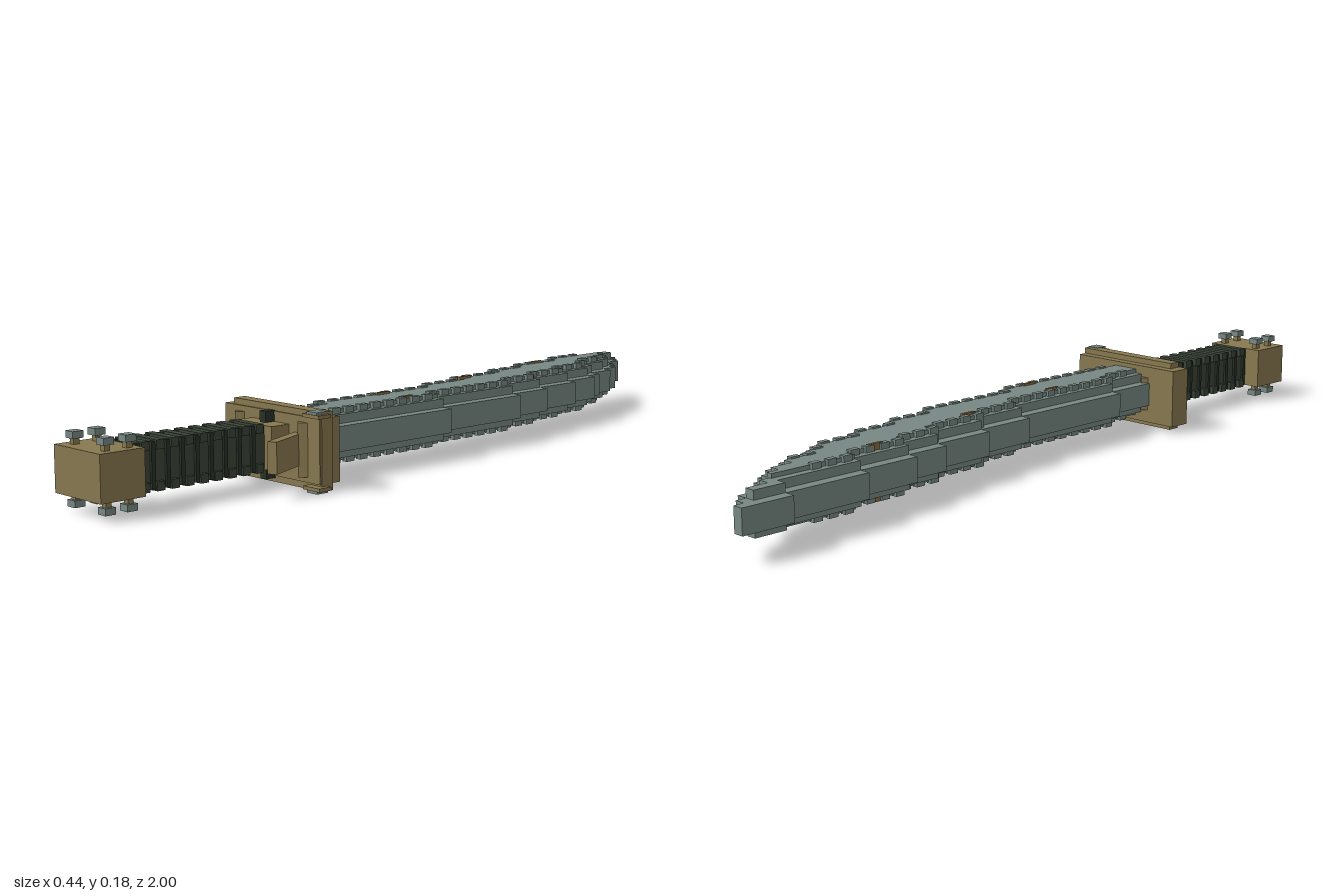
import * as THREE from 'three';

const mat = (name, color) => {
  const m = new THREE.MeshStandardMaterial({ color });
  m.name = name;
  return m;
};

export function createModel() {
  const steel = mat('steel', 0x778883);
  const brass = mat('brass', 0x87784f);
  const grip = mat('dark leather', 0x3a4538);
  const wrapDark = mat('black leather', 0x283027);
  const bronze = mat('bronze', 0x8a6a3e);
  const sword = new THREE.Group();
  sword.name = 'sword';
  const MID = 0.092;

  // Box given by its extents on each axis
  function box(parent, name, m, x0, x1, y0, y1, z0, z1) {
    const mesh = new THREE.Mesh(new THREE.BoxGeometry(x1 - x0, y1 - y0, z1 - z0), m);
    mesh.position.set((x0 + x1) / 2, (y0 + y1) / 2, (z0 + z1) / 2);
    mesh.name = name;
    parent.add(mesh);
    return mesh;
  }
  function part(name) {
    const g = new THREE.Group();
    g.name = name;
    sword.add(g);
    return g;
  }

  // Blade outline: each step is [x, z where the step ends], from the tip
  const left = [[-0.223, -0.87], [-0.197, -0.65], [-0.17, -0.49], [-0.144, -0.38],
    [-0.117, -0.22], [-0.09, -0.06], [-0.064, 0.29], [-0.037, 0.44]];
  const right = [[-0.197, -0.975], [-0.171, -0.95], [-0.144, -0.895], [-0.117, -0.87],
    [-0.09, -0.84], [-0.064, -0.785], [-0.037, -0.705], [-0.008, -0.655],
    [0.018, -0.545], [0.044, -0.405], [0.07, -0.275], [0.097, 0], [0.125, 0.44]];
  const at = (steps, z) => steps.find((s) => z < s[1])[0];
  const cuts = [-1, ...new Set([...left, ...right].map((s) => s[1]))].sort((a, b) => a - b);

  // One tier of the blade: the stepped outline, inset and extruded
  function tier(name, inset, half) {
    const l = [], r = [];
    for (let i = 0; i + 1 < cuts.length; i++) {
      const z = (cuts[i] + cuts[i + 1]) / 2;
      const a = at(left, z) + inset, b = at(right, z) - inset;
      if (b - a < 0.015) continue;
      l.push([a, cuts[i]], [a, cuts[i + 1]]);
      r.push([b, cuts[i]], [b, cuts[i + 1]]);
    }
    const shape = new THREE.Shape([...l, ...r.reverse()].map(([x, z]) => new THREE.Vector2(x, -z)));
    const geo = new THREE.ExtrudeGeometry(shape, { depth: half * 2, bevelEnabled: false });
    geo.rotateX(-Math.PI / 2).translate(0, MID - half, 0);
    const mesh = new THREE.Mesh(geo, steel);
    mesh.name = name;
    blade.add(mesh);
  }
  const blade = part('blade');
  tier('cuttingEdge', 0, 0.029);
  tier('bladeBody', 0.027, 0.05);
  tier('bladeRidge', 0.046, 0.06);

  // Ragged teeth along both sides of the ridge, on both faces
  for (let z = -0.77; z < 0.4; z += 0.042) {
    for (const x of [at(left, z) + 0.046, at(right, z) - 0.044]) {
      box(blade, 'ridgeTooth', steel, x - 0.007, x + 0.007, MID - 0.064, MID + 0.064, z, z + 0.024);
    }
  }
  // Small bronze flecks
  for (const [x, z] of [[-0.122, -0.57], [-0.056, -0.23], [0.072, 0.1], [-0.008, 0.1]]) {
    box(blade, 'bronzeFleck', bronze, x - 0.004, x + 0.004, MID - 0.0655, MID + 0.0655, z - 0.02, z + 0.02);
  }

  // Guard
  const guard = part('guard');
  box(guard, 'guardPlate', brass, -0.115, 0.207, 0.018, 0.163, 0.432, 0.49);
  box(guard, 'guardBand', brass, -0.088, 0.21, 0.003, 0.177, 0.455, 0.486);
  box(guard, 'guardCollar', brass, -0.02, 0.106, 0.042, 0.14, 0.485, 0.54);
  for (const x of [-0.062, 0.153]) {
    const wedge = box(guard, 'guardWedge', brass, x - 0.011, x + 0.011, 0.03, 0.15, 0.479, 0.501);
    wedge.rotation.y = Math.PI / 4;
  }
  for (const x of [-0.02, 0.12]) {
    const nub = box(guard, 'guardNub', brass, x - 0.009, x + 0.009, 0.05, 0.135, 0.423, 0.441);
    nub.rotation.y = Math.PI / 4;
  }
  // Slanted finger lever
  const lever = box(guard, 'fingerLever', brass, 0.149, 0.171, 0.055, 0.125, 0.48, 0.61);
  lever.rotation.y = 0.4;
  // Side hooks with steel caps
  for (const [y, cap] of [[0.165, 0.1725], [0.006, 0]]) {
    box(guard, 'sideHook', brass, 0.168, 0.222, y, y + 0.008, 0.47, 0.505);
    box(guard, 'hookCap', steel, 0.18, 0.212, cap, cap + 0.006, 0.472, 0.503);
  }
  box(guard, 'guardPin', wrapDark, 0.037, 0.057, 0.013, 0.165, 0.488, 0.515);

  // Grip with staggered wrapping
  const handle = part('handle');
  box(handle, 'gripCore', grip, 0.01, 0.082, 0.045, 0.138, 0.5, 0.9);
  for (let i = 0; i < 9; i++) {
    const z = 0.55 + i * 0.038;
    for (const y of [0.038, 0.126]) {
      box(handle, 'gripWrap', grip, 0, 0.092, y, y + 0.02, z, z + 0.02);
    }
    for (const x of [0.004, 0.076]) {
      box(handle, 'wrapEdge', wrapDark, x, x + 0.012, 0.041, 0.143, z + 0.02, z + 0.03);
    }
  }

  // Pommel with studs on both faces
  const pommel = part('pommel');
  box(pommel, 'pommelBlock', brass, -0.036, 0.126, 0.04, 0.142, 0.89, 1);
  for (const x of [-0.008, 0.1]) {
    for (const z of [0.914, 0.968]) {
      box(pommel, 'studStem', brass, x - 0.007, x + 0.007, 0.02, 0.162, z - 0.007, z + 0.007);
      for (const y of [0.011, 0.155]) {
        box(pommel, 'studCap', steel, x - 0.013, x + 0.013, y, y + 0.015, z - 0.013, z + 0.013);
      }
    }
  }
  return sword;
}
